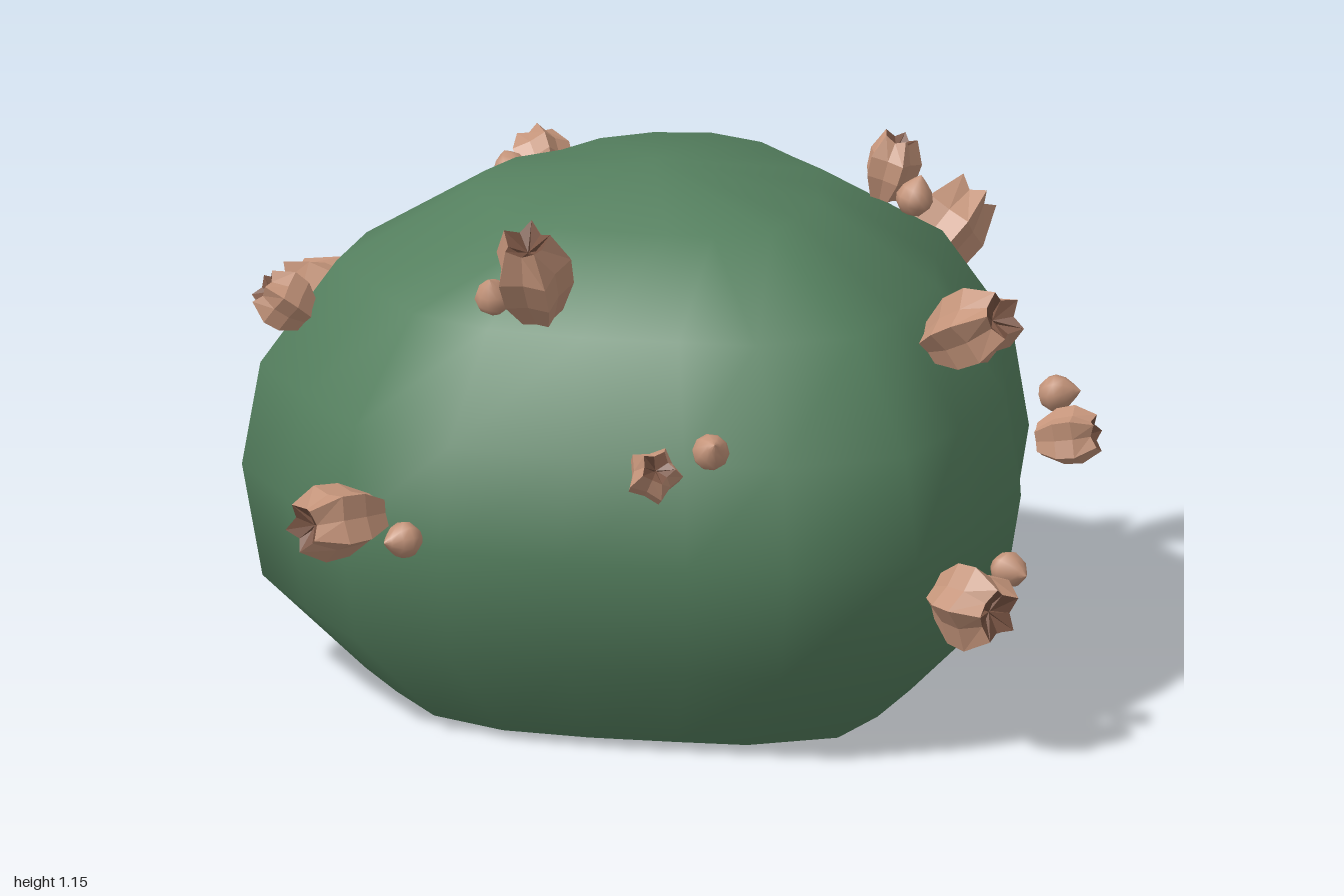
import * as THREE from 'three';

const green = new THREE.MeshStandardMaterial({ color: 0x55805f, side: THREE.DoubleSide });
green.name = 'leaf green';
const tan = new THREE.MeshStandardMaterial({ color: 0xc4947a });
tan.name = 'pod tan';
const brown = new THREE.MeshStandardMaterial({ color: 0x7a5544 });
brown.name = 'pod inner brown';

const UP = new THREE.Vector3(0, 1, 0);
const lathe = (pts, n) => new THREE.LatheGeometry(pts.map(p => new THREE.Vector2(...p)), n);

// Widest outline of the mound, as x, z
const OUTLINE = [
  [0, -0.82], [0.24, -0.81], [0.42, -0.65], [0.63, -0.5], [0.79, -0.26], [0.89, -0.04], [0.79, 0.22],
  [0.64, 0.37], [0.45, 0.55], [0.24, 0.71], [0, 0.785], [-0.26, 0.73], [-0.51, 0.66], [-0.67, 0.44],
  [-0.75, 0.21], [-0.72, -0.03], [-0.76, -0.28], [-0.69, -0.53], [-0.53, -0.74], [-0.27, -0.84],
];
// Height and outline scale of each ring
const RINGS = [[0, 0.7], [0.2, 0.95], [0.44, 1], [0.66, 0.955], [0.88, 0.77], [1.04, 0.45]];

// Hollow mound, open underneath
function moundGeometry() {
  const n = OUTLINE.length, pos = [], index = [];
  for (const [y, s] of RINGS) for (const [x, z] of OUTLINE) pos.push(x * s, y, z * s - 0.02 * (1 - s));
  pos.push(0, 1.1, -0.02);
  const apex = RINGS.length * n;
  for (let j = 0; j < RINGS.length; j++) {
    for (let i = 0; i < n; i++) {
      const a = j * n + i, b = j * n + (i + 1) % n;
      if (j === RINGS.length - 1) index.push(a, apex, b);
      else index.push(a, a + n, b, b, a + n, b + n);
    }
  }
  const g = new THREE.BufferGeometry();
  g.setAttribute('position', new THREE.Float32BufferAttribute(pos, 3));
  g.setIndex(index);
  g.computeVertexNormals();
  return g;
}

// Turned shape pinched into five ribs, faceted
function ribbed(profile) {
  const g = lathe(profile, 10), p = g.attributes.position;
  for (let i = 0; i < p.count; i++) {
    const column = Math.floor(i / profile.length);
    if (column % 2) {
      const y = p.getY(i);
      p.setXYZ(i, p.getX(i) * 0.72, y > 0.3 ? y - 0.08 : y, p.getZ(i) * 0.72);
    }
  }
  const flat = g.toNonIndexed();
  flat.computeVertexNormals();
  return flat;
}

// Unit pod: length 1, radius 1 before scaling
const podShell = ribbed([[0, -0.5], [0.55, -0.48], [0.95, -0.15], [1, 0.15], [0.62, 0.5]]);
const podMouth = ribbed([[0.62, 0.5], [0, 0.31]]);
const nutGeometry = lathe([[0, -0.04], [0.022, -0.034], [0.036, -0.016], [0.039, 0], [0.031, 0.02], [0.014, 0.038], [0, 0.05]], 10);

// Pod centre, pod axis, radius, length, nut centre
const PODS = [
  [[-0.88, 0.615, 0.15], [-1, 0.1, 0.2], 0.09, 0.24, [-0.85, 0.59, -0.01]],
  [[-0.67, 0.9, -0.23], [-0.7, 0.55, -0.2], 0.065, 0.12, [-0.64, 0.9, -0.13]],
  [[-0.66, 0.41, -0.64], [-0.7, 0.05, -0.6], 0.058, 0.12, [-0.56, 0.48, -0.7]],
  [[-0.12, 0.76, -0.85], [0.02, 0.65, -0.75], 0.085, 0.24, [-0.24, 0.67, -0.82]],
  [[0.18, 1.04, -0.5], [0.15, 0.9, -0.2], 0.06, 0.14, [0.275, 1.0, -0.49]],
  [[0.59, 0.53, -0.65], [0.7, 0.15, -0.65], 0.065, 0.13, [0.46, 0.58, -0.72]],
  [[0.75, 0.87, -0.28], [0.88, 0.45, -0.15], 0.085, 0.23, [0.67, 0.8, -0.365]],
  [[0.915, 0.335, -0.16], [1, -0.05, -0.15], 0.095, 0.17, [0.88, 0.38, -0.285]],
  [[0.655, 0.665, 0.465], [0.7, 0.5, 0.35], 0.06, 0.13, [0.68, 0.7, 0.335]],
  [[0.305, 1.02, 0.515], [0.3, 0.85, 0.4], 0.085, 0.23, [0.2, 0.955, 0.54]],
  [[0.09, 0.5, 0.855], [0, 0.03, 1], 0.085, 0.2, [0.225, 0.48, 0.79]],
  [[-0.435, 0.8, 0.605], [-0.4, 0.5, 0.6], 0.065, 0.12, [-0.51, 0.78, 0.525]],
];

function addMesh(parent, name, geometry, material) {
  const mesh = new THREE.Mesh(geometry, material);
  mesh.name = name;
  parent.add(mesh);
  return mesh;
}

export function createModel() {
  const model = new THREE.Group();
  model.name = 'podBush';
  addMesh(model, 'mound', moundGeometry(), green);

  for (const [centre, axis, radius, length, nutCentre] of PODS) {
    const turn = new THREE.Quaternion().setFromUnitVectors(UP, new THREE.Vector3(...axis).normalize());
    const pod = new THREE.Group();
    pod.name = 'seedPod';
    pod.position.set(...centre);
    pod.quaternion.copy(turn);
    pod.scale.set(radius, length, radius);
    addMesh(pod, 'podShell', podShell, tan);
    addMesh(pod, 'podMouth', podMouth, brown);
    model.add(pod);

    // Loose nut beside each pod
    const nut = addMesh(model, 'nut', nutGeometry, tan);
    nut.position.set(...nutCentre);
    nut.quaternion.copy(turn);
  }
  return model;
}
